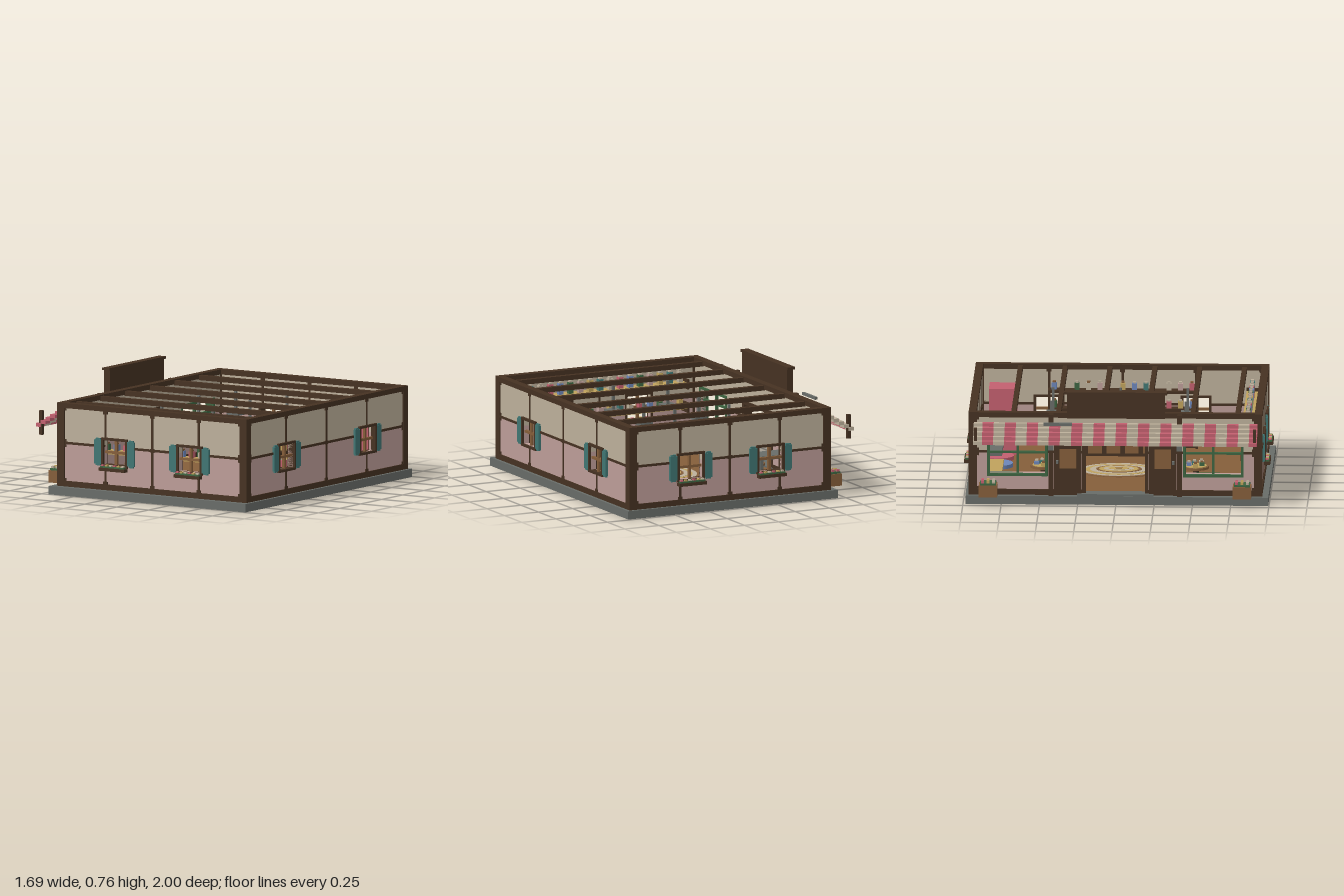
import * as THREE from 'three';

const mat = (name, color) => {
  const m = new THREE.MeshStandardMaterial({ color });
  m.name = name;
  return m;
};

export function createModel() {
  const M = {
    dark: mat('dark timber', 0x463222), wood: mat('warm wood', 0x855e3a),
    cream: mat('cream plaster', 0xbdb09b), pink: mat('pink plaster', 0xbd9d98),
    teal: mat('teal paint', 0x407673), grey: mat('grey stone', 0x686c68),
    green: mat('leaf green', 0x3d6541), yellow: mat('honey yellow', 0xbfa25c),
    red: mat('rose red', 0xc3606f), blue: mat('soft blue', 0x6c86b9),
  };
  const root = new THREE.Group();
  root.name = 'shop';
  const group = (name, parent = root) => {
    const g = new THREE.Group();
    g.name = name;
    parent.add(g);
    return g;
  };
  // box given by its two corners
  const box = (p, name, m, x0, x1, y0, y1, z0, z1) => {
    const b = new THREE.Mesh(new THREE.BoxGeometry(x1 - x0, y1 - y0, z1 - z0), M[m]);
    b.position.set((x0 + x1) / 2, (y0 + y1) / 2, (z0 + z1) / 2);
    b.name = name;
    p.add(b);
    return b;
  };
  const disc = (p, name, m, x, z, y0, y1, rx, rz = rx) => {
    const d = new THREE.Mesh(new THREE.CylinderGeometry(1, 1, y1 - y0, 28), M[m]);
    d.scale.set(rx, 1, rz);
    d.position.set(x, (y0 + y1) / 2, z);
    d.name = name;
    p.add(d);
  };
  const goods = ['yellow', 'cream', 'blue', 'pink', 'teal', 'red', 'green'];
  const jar = (p, i, x, y, z, h) => {
    box(p, 'jar', goods[i % 7], x - 0.016, x + 0.016, y, y + h, z - 0.016, z + 0.016);
    box(p, 'jarLid', i % 3 ? 'cream' : 'wood', x - 0.01, x + 0.01, y + h, y + h + 0.012, z - 0.01, z + 0.01);
  };

  // base and floor
  box(root, 'baseSlab', 'grey', -0.7, 0.84, 0, 0.055, -0.985, 0.995);
  box(root, 'floor', 'wood', -0.62, 0.78, 0.05, 0.06, -0.92, 0.91);

  // walls: local x along the wall, local z outward
  const shell = group('walls');
  shell.position.set(0.08, 0, -0.005);
  const wall = (name, angle, half, dist, holes, studs) => {
    const g = group(name, shell);
    g.rotation.y = angle;
    g.position.set(Math.sin(angle) * dist, 0, Math.cos(angle) * dist);
    const cuts = [-half + 0.02, half - 0.02, ...holes.flatMap(h => [h[0], h[1]])].sort((a, b) => a - b);
    for (let i = 0; i + 1 < cuts.length; i++) {
      const mid = (cuts[i] + cuts[i + 1]) / 2;
      const h = holes.find(k => mid > k[0] && mid < k[1]);
      for (const [m, lo, hi] of [['pink', 0.06, 0.342], ['cream', 0.342, 0.6]]) {
        const spans = h ? [[lo, Math.min(hi, h[2])], [Math.max(lo, h[3]), hi]] : [[lo, hi]];
        for (const [a, b] of spans)
          if (b - a > 0.001) box(g, m + 'Panel', m, cuts[i], cuts[i + 1], a, b, -0.045, -0.008);
      }
      // rails stop at the openings
      if (!h || h[2] > 0.1) box(g, 'bottomBeam', 'dark', cuts[i], cuts[i + 1], 0.055, 0.092, -0.05, 0);
      if (!h) box(g, 'middleRail', 'dark', cuts[i], cuts[i + 1], 0.334, 0.35, -0.048, -0.003);
    }
    box(g, 'topBeam', 'dark', -half, half, 0.572, 0.605, -0.05, 0);
    for (const s of [-1, 1]) {
      box(g, 'cornerPost', 'dark', s * (half - 0.0275) - 0.0275, s * (half - 0.0275) + 0.0275, 0.055, 0.605, -0.05, 0);
      for (const y of [0.1, 0.326, 0.358, 0.565])
        box(g, 'cornerBracket', 'dark', s * (half - 0.059) - 0.008, s * (half - 0.059) + 0.008, y - 0.01, y + 0.01, -0.045, -0.004);
    }
    for (const u of studs) {
      const h = holes.find(k => u > k[0] && u < k[1]);
      for (const [a, b] of h ? [[0.06, h[2]], [h[3], 0.6]] : [[0.06, 0.6]])
        box(g, 'stud', 'dark', u - 0.008, u + 0.008, a, b, -0.047, -0.004);
      for (const y of [0.098, 0.342, 0.566])
        if (!h || y < h[2] || y > h[3]) box(g, 'studBracket', 'dark', u - 0.016, u + 0.016, y - 0.012, y + 0.012, -0.047, -0.002);
    }
    return g;
  };
  // window frame bars around an opening
  const frame = (g, m, [a, b, lo, hi], t, out) => {
    box(g, 'windowJamb', m, a - t, a, lo - t, hi + t, -0.05, out);
    box(g, 'windowJamb', m, b, b + t, lo - t, hi + t, -0.05, out);
    box(g, 'windowSill', m, a, b, lo - t, lo, -0.05, out);
    box(g, 'windowHead', m, a, b, hi, hi + t, -0.05, out);
  };
  const cottageWindow = (g, u, flowers) => {
    const lo = 0.225, hi = 0.385;
    frame(g, 'dark', [u - 0.085, u + 0.085, lo, hi], 0.016, 0.008);
    box(g, 'mullion', 'wood', u - 0.009, u + 0.009, lo, hi, -0.03, -0.012);
    box(g, 'transom', 'wood', u - 0.085, u + 0.085, 0.297, 0.314, -0.03, -0.012);
    for (const s of [-1, 1]) {
      const c = u + s * 0.128;
      box(g, 'shutter', 'teal', c - 0.027, c + 0.027, 0.225, 0.385, -0.01, 0.008);
      box(g, 'shutterPanel', 'teal', c - 0.018, c + 0.018, 0.215, 0.395, -0.01, 0.005);
    }
    if (!flowers) return;
    box(g, 'flowerBox', 'dark', u - 0.1, u + 0.1, 0.186, 0.207, 0, 0.04);
    box(g, 'flowerLeaves', 'green', u - 0.092, u + 0.092, 0.207, 0.217, 0.006, 0.034);
    for (let i = 0; i < 6; i++)
      box(g, 'flower', ['red', 'yellow', 'cream'][i % 3], u - 0.088 + i * 0.031, u - 0.07 + i * 0.031, 0.212, 0.226, 0.01, 0.03);
  };
  const hole = u => [u - 0.085, u + 0.085, 0.225, 0.385];
  for (const [name, angle] of [['frontWall', 0], ['backWall', Math.PI]]) {
    const g = wall(name, angle, 0.74, 0.96, [hole(-0.29), hole(0.295)], [-0.365, 0, 0.365]);
    [-0.29, 0.295].forEach(u => cottageWindow(g, u, true));
  }
  const sideWall = wall('leftWall', Math.PI / 2, 0.96, 0.74, [hole(-0.48), hole(0.48)], [-0.48, 0, 0.48]);
  [-0.48, 0.48].forEach(u => cottageWindow(sideWall, u, false));

  // shop front with doorway, open door leaves and display windows
  const shopHoles = [[-0.82, -0.46, 0.2, 0.41], [-0.2, 0.2, 0.055, 0.42], [0.46, 0.82, 0.2, 0.41]];
  const shop = wall('shopFront', -Math.PI / 2, 0.96, 0.74, shopHoles, []);
  box(shop, 'doorstep', 'grey', -0.25, 0.25, 0.05, 0.07, -0.06, 0.038);
  box(shop, 'doorLintel', 'dark', -0.22, 0.22, 0.42, 0.445, -0.05, 0.012);
  for (const s of [-1, 1]) {
    const h = shopHoles[s < 0 ? 0 : 2], c = s * 0.64;
    frame(shop, 'green', h, 0.018, 0.012);
    box(shop, 'displayMullion', 'green', c - 0.008, c + 0.008, 0.2, 0.41, -0.03, -0.01);
    box(shop, 'displayTransom', 'green', c - 0.18, c + 0.18, 0.33, 0.343, -0.03, -0.01);
    box(shop, 'doorJamb', 'dark', s * 0.205 - 0.012, s * 0.205 + 0.012, 0.055, 0.43, -0.05, 0.006);
    box(shop, 'doorLeaf', 'dark', s * 0.31 - 0.09, s * 0.31 + 0.09, 0.07, 0.41, 0, 0.025);
    box(shop, 'doorPanel', 'wood', s * 0.31 - 0.055, s * 0.31 + 0.055, 0.24, 0.37, 0.025, 0.03);
    box(shop, 'doorHandle', 'grey', s * 0.38 - 0.008, s * 0.38 + 0.008, 0.275, 0.295, 0.025, 0.055);
    box(shop, 'pilaster', 'dark', s * 0.42 - 0.015, s * 0.42 + 0.015, 0.055, 0.6, 0, 0.032);
    box(shop, 'wallLantern', 'grey', s * 0.42 - 0.018, s * 0.42 + 0.018, 0.37, 0.4, 0.032, 0.075);
    // flower planter
    const p = s * 0.83;
    box(shop, 'planter', 'wood', p - 0.06, p + 0.06, 0.06, 0.14, 0.005, 0.115);
    box(shop, 'planterLeaves', 'green', p - 0.052, p + 0.052, 0.14, 0.153, 0.012, 0.108);
    for (let i = 0; i < 9; i++) {
      const x = p - 0.036 + (i % 3) * 0.036, z = 0.025 + Math.floor(i / 3) * 0.035;
      box(shop, 'planterFlower', ['yellow', 'red', 'cream'][(i * 2 + 1) % 3], x - 0.009, x + 0.009, 0.15, 0.167, z - 0.009, z + 0.009);
    }
  }

  // stepped striped awning and its rods
  const awning = group('awning');
  for (let i = 0; i < 26; i++) {
    const a = Math.max(-0.93, -0.945 + i * 0.0727), b = Math.min(0.925, -0.945 + (i + 1) * 0.0727);
    for (let k = 0; k < 5; k++)
      box(awning, 'awningStripe', i % 2 ? 'red' : 'cream', -0.846 + k * 0.037, -0.808 + k * 0.037, 0.427 + k * 0.022, 0.451 + k * 0.022, a, b);
  }
  for (const z of [-0.915, 0.91]) box(awning, 'awningRod', 'dark', -0.826, -0.8, 0.375, 0.535, z - 0.01, z + 0.01);
  box(awning, 'awningBar', 'grey', -0.813, -0.795, 0.552, 0.57, -0.47, -0.285);

  // blank sign board above the shop front
  box(root, 'signBoard', 'dark', -0.71, -0.665, 0.58, 0.745, -0.32, 0.32);
  box(root, 'signCap', 'dark', -0.716, -0.66, 0.74, 0.756, -0.34, 0.335);

  // ceiling beams
  for (let i = 0; i < 6; i++) {
    const z = -0.672 + i * 0.293;
    box(root, 'ceilingBeam', 'dark', -0.63, 0.79, 0.565, 0.597, z - 0.016, z + 0.016);
  }
  // hanging lamps
  for (const x of [-0.18, 0.22]) for (const z of [-0.44, 0, 0.44]) {
    box(root, 'lampShade', 'grey', x - 0.045, x + 0.045, 0.395, 0.418, z - 0.045, z + 0.045);
    box(root, 'lampRod', 'grey', x - 0.008, x + 0.008, 0.418, 0.575, z - 0.008, z + 0.008);
  }

  // oval rug in rings
  const rug = group('rug');
  [['wood', 0.21, 0.3], ['cream', 0.19, 0.25], ['yellow', 0.16, 0.22], ['cream', 0.135, 0.19], ['wood', 0.105, 0.15],
    ['yellow', 0.09, 0.13], ['cream', 0.06, 0.1], ['yellow', 0.035, 0.07], ['wood', 0.012, 0.025]]
    .forEach(([m, rx, rz], i) => disc(rug, 'rugRing', m, 0.06, -0.005, 0.058, 0.064 + i * 0.0015, rx, rz));

  // long shelves of jars on the front wall
  const shelves = group('jarShelves');
  for (const [y, h] of [[0.285, 0.04], [0.44, 0.075]]) {
    box(shelves, 'shelfBoard', 'yellow', -0.515, 0.655, y, y + 0.02, 0.81, 0.905);
    for (const x of [-0.53, 0.655]) box(shelves, 'shelfEnd', 'dark', x, x + 0.015, y - 0.025, y + 0.04, 0.81, 0.905);
    for (let i = 0; i < 16; i++) jar(shelves, i * 3 + (y > 0.4 ? 1 : 0), -0.48 + i * 0.0733, y + 0.02, 0.85, h);
  }

  // shelf unit on the left wall
  const unit = group('shelfUnit');
  for (const y of [0.07, 0.2, 0.31, 0.43]) {
    box(unit, 'unitBoard', 'dark', 0.69, 0.77, y, y + 0.018, -0.49, 0.49);
    for (let i = 0; i < 13; i++) if ((i * 5 + Math.round(y * 100)) % 4) jar(unit, i * 2 + Math.round(y * 20), 0.73, y + 0.018, -0.45 + i * 0.075, 0.045);
  }
  for (const z of [-0.49, -0.165, 0.15, 0.475]) box(unit, 'unitUpright', 'dark', 0.7, 0.77, 0.06, 0.44, z, z + 0.015);

  // sales counter
  const counter = group('counter');
  box(counter, 'counterBody', 'dark', 0.47, 0.565, 0.06, 0.185, -0.355, 0.375);
  box(counter, 'counterTop', 'wood', 0.455, 0.58, 0.185, 0.2, -0.37, 0.39);
  for (let i = 0; i < 6; i++) box(counter, 'counterPanel', 'wood', 0.464, 0.47, 0.08, 0.17, -0.34 + i * 0.12, -0.25 + i * 0.12);
  box(counter, 'cashBox', 'yellow', 0.495, 0.545, 0.2, 0.24, -0.265, -0.185);
  box(counter, 'scale', 'yellow', 0.495, 0.545, 0.2, 0.225, -0.02, 0.045);
  for (let i = 0; i < 6; i++) jar(counter, i, 0.5 + (i % 2) * 0.04, 0.2, 0.14 + Math.floor(i / 2) * 0.042, 0.03);

  // work bench with grey canopy
  const bench = group('workBench');
  box(bench, 'benchBody', 'dark', -0.52, -0.18, 0.06, 0.16, -0.905, -0.76);
  box(bench, 'benchTop', 'yellow', -0.53, -0.17, 0.16, 0.18, -0.91, -0.75);
  box(bench, 'canopy', 'grey', -0.535, -0.17, 0.285, 0.31, -0.91, -0.75);
  for (const x of [-0.53, -0.19]) box(bench, 'canopyPost', 'grey', x, x + 0.02, 0.18, 0.285, -0.91, -0.89);

  // round display tables
  for (const z of [-0.485, 0.51]) {
    const t = group('displayTable');
    disc(t, 'tableFoot', 'dark', -0.325, z, 0.06, 0.075, 0.05);
    disc(t, 'tableStem', 'dark', -0.325, z, 0.075, 0.165, 0.02);
    disc(t, 'tableTop', 'wood', -0.325, z, 0.165, 0.18, 0.085);
    disc(t, 'tableCloth', 'yellow', -0.325, z, 0.18, 0.184, 0.072);
    [[-0.045, 0], [0, -0.045], [0.03, -0.01], [-0.01, 0.04], [0.045, 0.035]].forEach(([x, d], i) => jar(t, i * 2, -0.325 + x, 0.184, z + d, 0.022));
  }

  // green tubs
  for (const z of [-0.665, 0.66]) {
    box(root, 'greenTub', 'green', -0.59, -0.465, 0.06, 0.12, z - 0.063, z + 0.063);
    box(root, 'greenTubTop', 'green', -0.57, -0.485, 0.12, 0.135, z - 0.043, z + 0.043);
  }
  // floor cushions and red cabinet
  disc(root, 'blueCushion', 'blue', 0.15, -0.8, 0.06, 0.085, 0.1);
  disc(root, 'redCushion', 'red', 0.37, -0.8, 0.06, 0.085, 0.1);
  box(root, 'redCabinet', 'red', 0.49, 0.69, 0.06, 0.5, -0.87, -0.69);
  return root;
}
